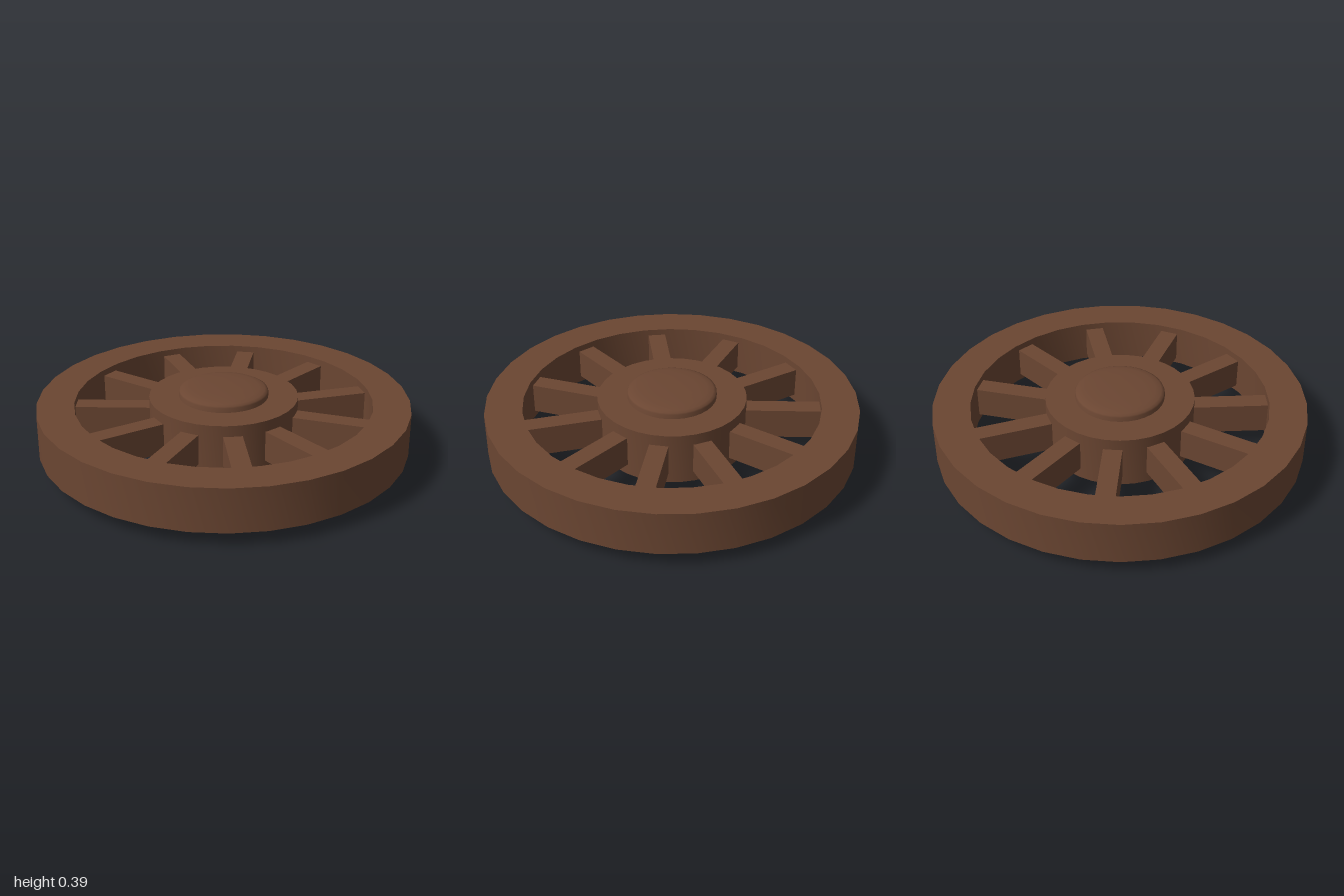
import * as THREE from 'three';
import { toCreasedNormals } from 'three/addons/utils/BufferGeometryUtils.js';

const SPOKES = 11;
const SIDES = SPOKES * 3;
const MID = 0.197; // height of the wheel's middle plane

export function createModel() {
  const wheel = new THREE.Group();
  wheel.name = 'wheel';
  const wood = new THREE.MeshStandardMaterial({ color: 0x6b4632 });

  // Turned part from [radius, height above the middle plane] points
  const turned = (name, points) => {
    const profile = points.map(([r, y]) => new THREE.Vector2(r, y));
    const geometry = new THREE.LatheGeometry(profile, SIDES, Math.PI);
    const mesh = new THREE.Mesh(toCreasedNormals(geometry, 0.8), wood);
    mesh.name = name;
    mesh.position.y = MID;
    wheel.add(mesh);
    return mesh;
  };

  // Rim with a rectangular section
  turned('rim', [[1, -0.118], [1, 0.118], [0.8, 0.118], [0.8, -0.118], [1, -0.118]]);

  // Hub disc
  turned('hub', [[0, -0.143], [0.4, -0.143], [0.4, 0.143], [0, 0.143]]);

  // Rounded axle cap standing out on both faces
  const edge = [[0.24, 0.168], [0.236, 0.176], [0.222, 0.183], [0.19, 0.189], [0.12, 0.193], [0, 0.195]];
  turned('axleCap', [...edge.map(([r, y]) => [r, -y]).reverse(), ...edge]);

  // Spokes, each meeting the middle of a flat on the rim
  const spokeGeometry = new THREE.BoxGeometry(0.1, 0.165, 0.43).translate(0, 0, -0.585);
  for (let i = 0; i < SPOKES; i++) {
    const spoke = new THREE.Mesh(spokeGeometry, wood);
    spoke.name = `spoke${i + 1}`;
    spoke.position.y = MID;
    spoke.rotation.y = -((i * 2 * Math.PI) / SPOKES + Math.PI / SIDES);
    wheel.add(spoke);
  }
  return wheel;
}
